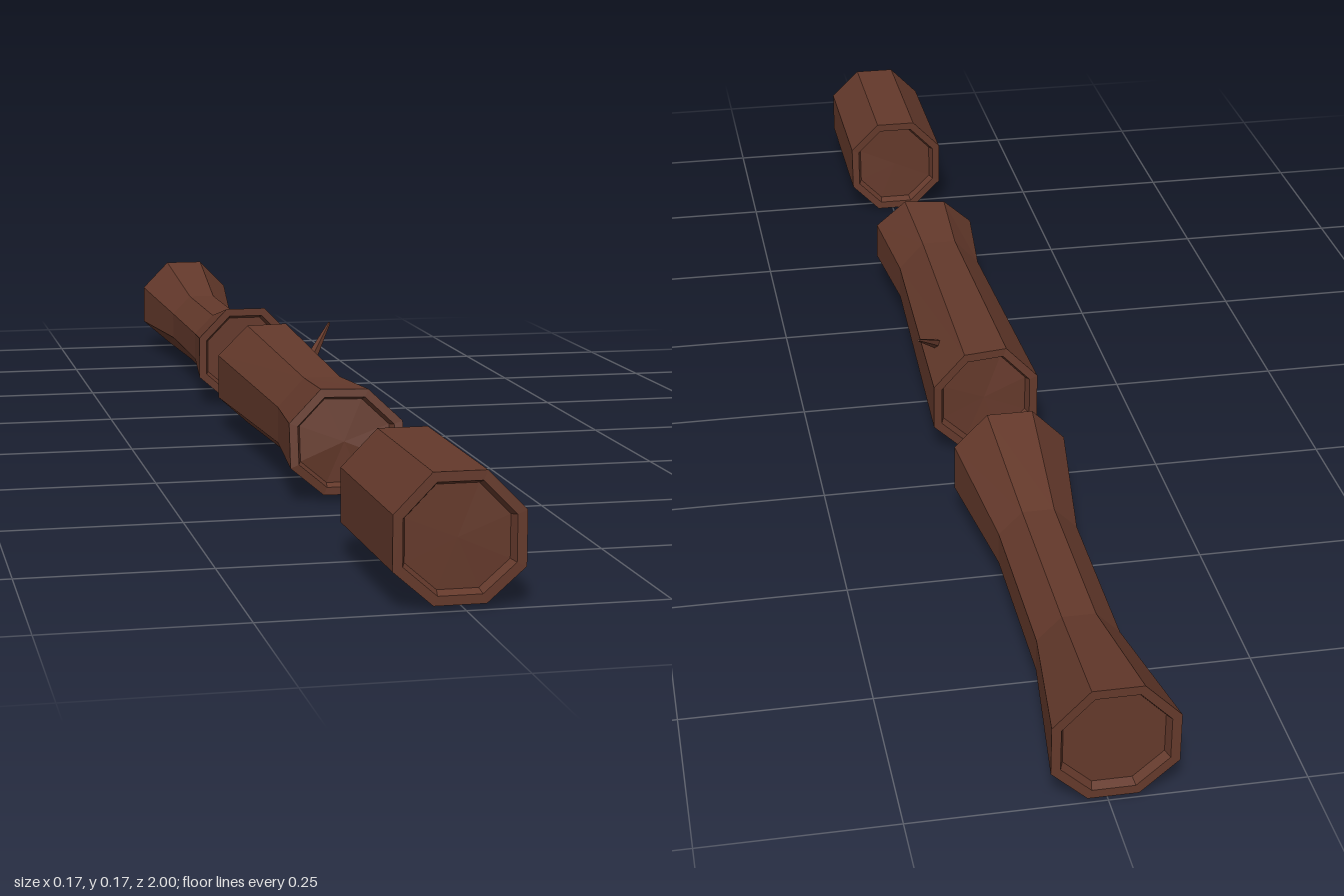
import * as THREE from 'three';

// eight corners of a log's cross-section, counter-clockwise from the front
const OCTAGON = [
  [0.072, 0.12], [0.025, 0.168], [-0.04, 0.168], [-0.087, 0.12],
  [-0.087, 0.053], [-0.038, 0.01], [0.026, 0.01], [0.072, 0.053],
];
const CX = -0.008, CY = 0.088;

// one ring: sx narrows it, drop lowers the top, lift raises the bottom, dz makes the cut ragged
function ring({ z, sx = 1, drop = 0, lift = 0, dz = [] }) {
  return OCTAGON.map(([x, y], i) => new THREE.Vector3(
    CX + (x - CX) * sx,
    y - drop * Math.max(0, y - 0.05) / 0.118 + lift * Math.max(0, 0.1 - y) / 0.09,
    z + (dz[i] || 0)));
}

// shrink a ring towards its own middle and push it along z
function inset(points, scale, depth) {
  const mid = points.reduce((s, p) => s.add(p), new THREE.Vector3()).divideScalar(points.length);
  return points.map((p) => {
    const q = mid.clone().lerp(p, scale);
    q.z += depth;
    return q;
  });
}

// log skin with a raised rim and a sunken cut face at both ends, front to back
function logGeometry(sections) {
  const body = sections.map(ring);
  const first = body[0], last = body[body.length - 1];
  const rings = [
    inset(first, 0, -0.012), inset(first, 0.79, -0.012), inset(first, 0.85, 0),
    ...body,
    inset(last, 0.85, 0), inset(last, 0.79, 0.012), inset(last, 0, 0.012),
  ];
  const pos = [];
  const n = OCTAGON.length;
  for (let r = 0; r < rings.length - 1; r++) {
    const a = rings[r], b = rings[r + 1];
    for (let i = 0; i < n; i++) {
      const j = (i + 1) % n;
      const tris = [];
      if (r < rings.length - 2) tris.push(a[i], b[i], b[j]);
      if (r > 0) tris.push(a[i], b[j], a[j]);
      tris.forEach((p) => pos.push(p.x, p.y, p.z));
    }
  }
  const geo = new THREE.BufferGeometry();
  geo.setAttribute('position', new THREE.Float32BufferAttribute(pos, 3));
  geo.computeVertexNormals();
  return geo;
}

export function createModel() {
  const group = new THREE.Group();
  group.name = 'logs';
  const bark = new THREE.MeshStandardMaterial({ color: 0x64392b });
  bark.name = 'bark brown';
  bark.flatShading = true;

  const add = (name, geo) => {
    const mesh = new THREE.Mesh(geo, bark);
    mesh.name = name;
    group.add(mesh);
    return mesh;
  };

  // short straight log
  add('shortLog', logGeometry([
    { z: 0.995, dz: [0.005, 0, 0, 0, 0, 0, 0, 0.005] },
    { z: 0.728, lift: -0.006, dz: [0.004, 0, 0, 0, 0, -0.003, -0.003, 0] },
  ]));

  // middle log, slightly pinched near the front, with ragged cuts
  add('middleLog', logGeometry([
    { z: 0.41, drop: 0.008, lift: 0.002, dz: [0.01, 0, -0.01, 0, 0.01, 0, 0.005, 0.02] },
    { z: 0.26, sx: 0.82, drop: 0.016, lift: 0.011 },
    { z: -0.155, lift: -0.003, dz: [-0.01, -0.005, 0.005, 0, 0, -0.005, -0.005, -0.008] },
  ]));

  // long log with a narrow waist and a flat underside
  add('waistedLog', logGeometry([
    { z: -0.34 },
    { z: -0.54, sx: 0.68, drop: 0.039 },
    { z: -0.79, sx: 0.68, drop: 0.039 },
    { z: -1 },
  ]));

  // thin twig growing from the middle log
  const base = new THREE.Vector3(0.046, 0.132, -0.052);
  const tip = new THREE.Vector3(0.086, 0.174, -0.112);
  const dir = tip.clone().sub(base);
  const twig = add('twig', new THREE.CylinderGeometry(0.002, 0.008, dir.length(), 5));
  twig.position.copy(base).lerp(tip, 0.5);
  twig.quaternion.setFromUnitVectors(new THREE.Vector3(0, 1, 0), dir.normalize());

  return group;
}
